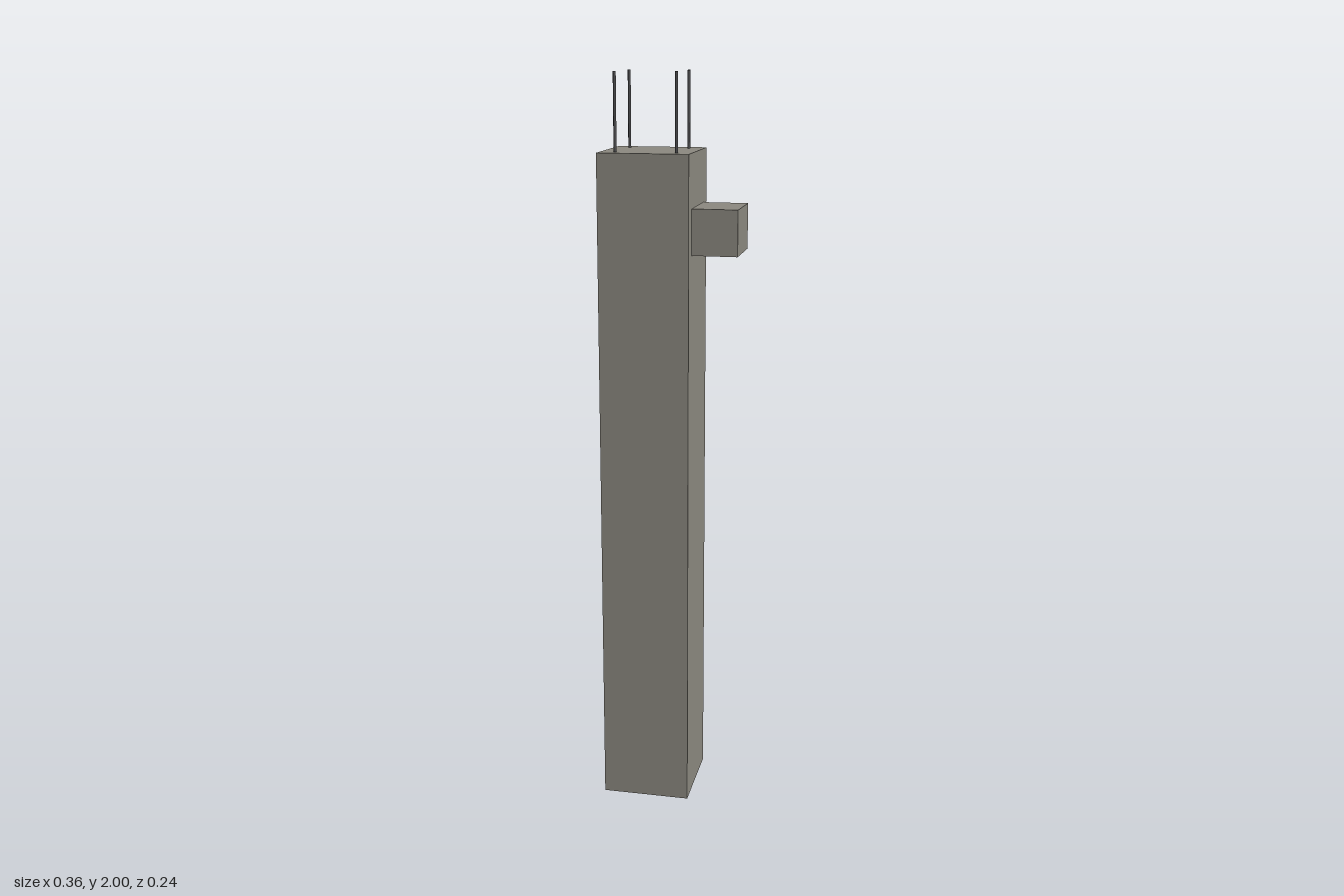
import * as THREE from 'three';

export function createModel() {
  const model = new THREE.Group();
  model.name = 'concreteColumn';

  const concrete = new THREE.MeshStandardMaterial({ color: 0x8c8980 });
  concrete.name = 'concrete';
  const steel = new THREE.MeshStandardMaterial({ color: 0x4a4a4c });
  steel.name = 'steel';

  const add = (name, geometry, material, x, y, z) => {
    const mesh = new THREE.Mesh(geometry, material);
    mesh.name = name;
    mesh.position.set(x, y, z);
    model.add(mesh);
  };

  // Square shaft with a corbel on its left side
  const shaftX = -0.06;
  add('shaft', new THREE.BoxGeometry(0.24, 1.8, 0.24), concrete, shaftX, 0.9, 0);
  add('corbel', new THREE.BoxGeometry(0.12, 0.12, 0.16), concrete, 0.12, 1.6, 0);

  // Four reinforcing bars rising from the top
  const bar = new THREE.CylinderGeometry(0.004, 0.004, 0.2, 8);
  for (const sx of [-1, 1]) {
    for (const sz of [-1, 1]) {
      add('reinforcingBar', bar, steel, shaftX + sx * 0.08, 1.9, sz * 0.08);
    }
  }

  return model;
}
